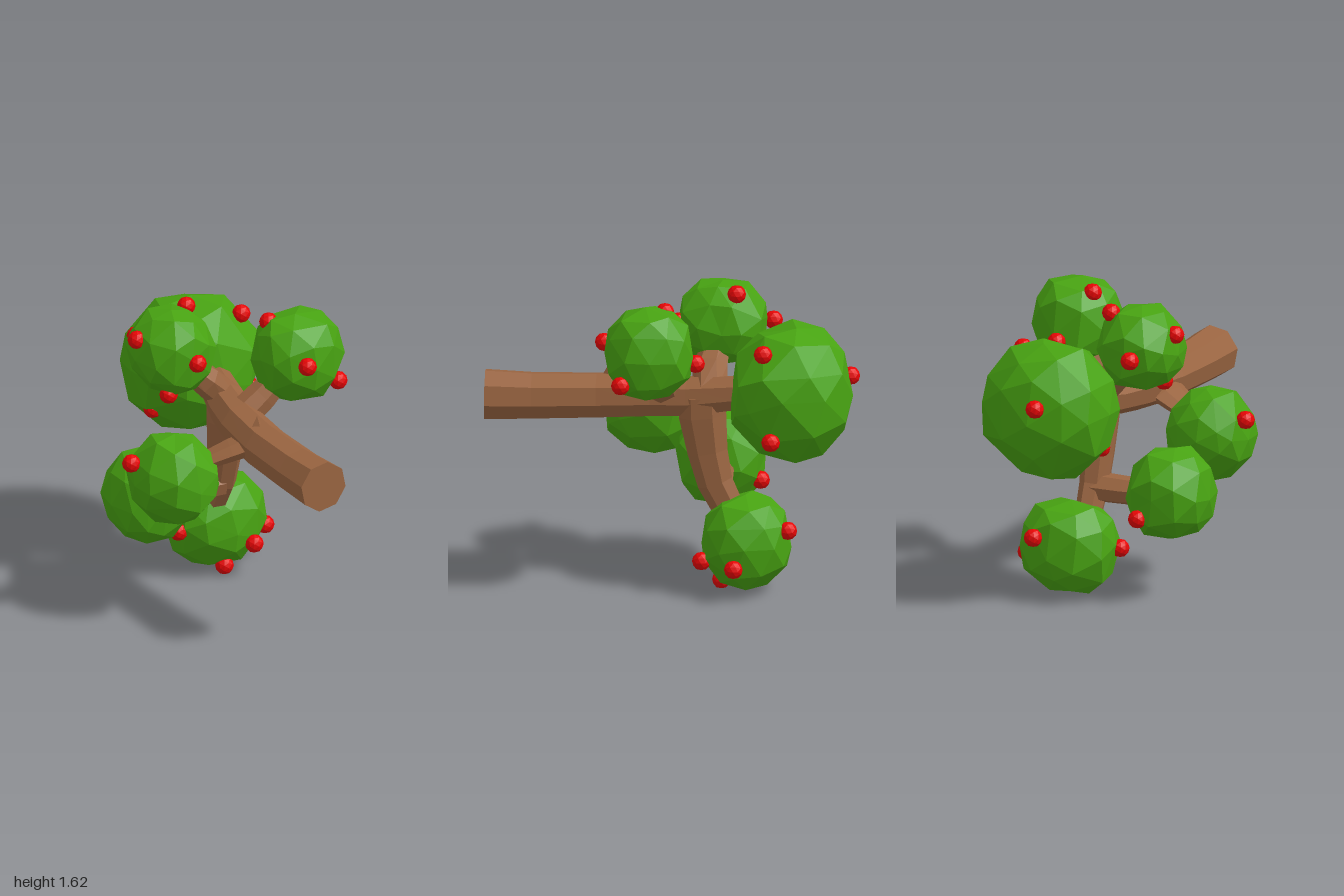
import * as THREE from 'three';

const mat = (color) => new THREE.MeshStandardMaterial({ color, flatShading: true });

// Tapered faceted limb: one ring of vertices per [x, y, z, radius] point, capped at both ends;
// flatten narrows the section across its second axis
function limbGeometry(points, sides, flatten = 1) {
  const centres = points.map((p) => new THREE.Vector3(p[0], p[1], p[2]));
  const pos = [], index = [];
  const last = points.length - 1;
  const axis = centres[last].clone().sub(centres[0]);
  const ref = Math.abs(axis.y) > 0.7 * axis.length() ? new THREE.Vector3(1, 0, 0) : new THREE.Vector3(0, 1, 0);
  centres.forEach((c, i) => {
    const dir = centres[Math.min(i + 1, last)].clone().sub(centres[Math.max(i - 1, 0)]).normalize();
    const u = new THREE.Vector3().crossVectors(ref, dir).normalize();
    const v = new THREE.Vector3().crossVectors(dir, u);
    for (let s = 0; s < sides; s++) {
      const a = ((s + 0.25) / sides) * Math.PI * 2;
      const p = c.clone()
        .addScaledVector(u, Math.cos(a) * points[i][3])
        .addScaledVector(v, Math.sin(a) * points[i][3] * flatten);
      pos.push(p.x, p.y, p.z);
    }
  });
  for (let i = 0; i < last; i++) {
    for (let s = 0; s < sides; s++) {
      const a = i * sides + s, b = i * sides + ((s + 1) % sides);
      index.push(a, b, b + sides, a, b + sides, a + sides);
    }
  }
  for (let s = 1; s < sides - 1; s++) {
    const o = last * sides;
    index.push(0, s + 1, s, o, o + s, o + s + 1);
  }
  const g = new THREE.BufferGeometry();
  g.setAttribute('position', new THREE.Float32BufferAttribute(pos, 3));
  g.setIndex(index);
  const flat = g.toNonIndexed();
  flat.computeVertexNormals();
  return flat;
}

// Leaf clump: coarse icosphere whose corners are nudged by a repeatable rule and kept inside its box
function clumpGeometry(rx, ry, rz, seed) {
  const g = new THREE.IcosahedronGeometry(1, 1);
  const p = g.attributes.position;
  const v = new THREE.Vector3();
  const wave = (a, b, c) => Math.sin(v.x * a + v.y * b + v.z * c + seed * 2.3);
  const clamp = (n) => THREE.MathUtils.clamp(n, -1, 1);
  for (let i = 0; i < p.count; i++) {
    v.fromBufferAttribute(p, i);
    const dx = wave(7, 11, 5), dy = wave(12, 4, 9), dz = wave(5, 8, 13);
    v.set(v.x + 0.1 * dx, v.y + 0.1 * dy, v.z + 0.1 * dz);
    v.normalize().multiplyScalar(1.075 + 0.03 * dx);
    p.setXYZ(i, clamp(v.x) * rx, clamp(v.y) * ry, clamp(v.z) * rz);
  }
  g.computeVertexNormals();
  return g;
}

export function createModel() {
  const model = new THREE.Group();
  const bark = mat(0x9a6541), leaf = mat(0x48a312), red = mat(0xe60505);
  const add = (name, geometry, material) => {
    const mesh = new THREE.Mesh(geometry, material);
    mesh.name = name;
    model.add(mesh);
    return mesh;
  };

  // Trunk, lying along z with its cut end at the front
  add('trunk', limbGeometry([
    [0.037, 1.015, 1, 0.14], [0.035, 1.012, 0.75, 0.13], [0.038, 1.02, 0.4, 0.125],
    [0.07, 1.035, 0.1, 0.118], [0.115, 1.045, -0.1, 0.112], [0.18, 1.085, -0.35, 0.095], [0.2, 1.1, -0.55, 0.08],
  ], 8), bark);
  add('knot', new THREE.ConeGeometry(0.05, 0.09, 4), bark).position.set(0.02, 1.14, 0.345);

  // Branches, each running into its clump: path, then flattening
  const branches = {
    lowerBranch: [[[0.14, 1.06, -0.16, 0.13], [0.138, 0.95, -0.163, 0.13], [0.138, 0.75, -0.19, 0.11],
      [0.14, 0.58, -0.23, 0.098], [0.14, 0.44, -0.3, 0.088], [0.15, 0.33, -0.37, 0.065]], 0.8],
    lowerSideBranch: [[[0.13, 0.57, -0.23, 0.095], [-0.05, 0.57, -0.23, 0.09], [-0.25, 0.58, -0.23, 0.07]], 0.85],
    rightBranch: [[[0.06, 1.03, 0.31, 0.13], [-0.08, 0.975, 0.245, 0.115], [-0.2, 0.925, 0.195, 0.09],
      [-0.3, 0.88, 0.16, 0.07]], 0.42],
    upperRightBranch: [[[0.16, 1.06, -0.2, 0.1], [0.03, 1.19, -0.2, 0.095], [-0.12, 1.33, -0.24, 0.07]], 0.9],
    upperLeftBranch: [[[0.1, 1.06, 0.05, 0.1], [0.22, 1.15, 0.06, 0.095], [0.36, 1.28, 0.08, 0.07]], 0.85],
  };
  for (const [name, [path, flatten]] of Object.entries(branches)) add(name, limbGeometry(path, 7, flatten), bark);

  // Leaf clumps: centre, then radii
  const clumps = [
    [0.2, 1.1, -0.64, 0.36, 0.36, 0.325],
    [-0.153, 1.385, -0.255, 0.218, 0.228, 0.235],
    [0.408, 1.367, 0.108, 0.237, 0.245, 0.238],
    [-0.373, 0.84, 0.14, 0.228, 0.24, 0.24],
    [-0.318, 0.59, -0.232, 0.222, 0.25, 0.24],
    [0.207, 0.28, -0.4, 0.268, 0.25, 0.24],
  ];
  clumps.forEach(([x, y, z, rx, ry, rz], i) => {
    add('leafClump' + (i + 1), clumpGeometry(rx, ry, rz, i + 1), leaf).position.set(x, y, z);
  });

  // Fruit dotted over the clumps
  const fruit = [
    [0.43, 1.37, -0.5], [0.14, 1.18, -0.95], [0.515, 0.91, -0.545], [-0.07, 0.9, -0.58],
    [-0.355, 1.48, -0.27], [-0.01, 1.575, -0.335], [-0.13, 1.385, -0.02], [-0.23, 1.18, -0.15], [-0.21, 1.38, -0.52],
    [0.28, 1.555, 0.03], [0.33, 1.4, 0.35], [0.58, 1.23, 0.25], [0.41, 1.31, -0.14],
    [-0.6, 0.95, 0.08], [-0.22, 0.49, -0.45],
    [-0.06, 0.28, -0.33], [0.31, 0.19, -0.165], [0.485, 0.195, -0.345], [0.185, 0.055, -0.265], [0.31, 0.365, -0.625],
  ];
  const fruitGeometry = new THREE.IcosahedronGeometry(0.05, 1);
  fruit.forEach((p, i) => add('fruit' + (i + 1), fruitGeometry, red).position.set(...p));

  return model;
}
